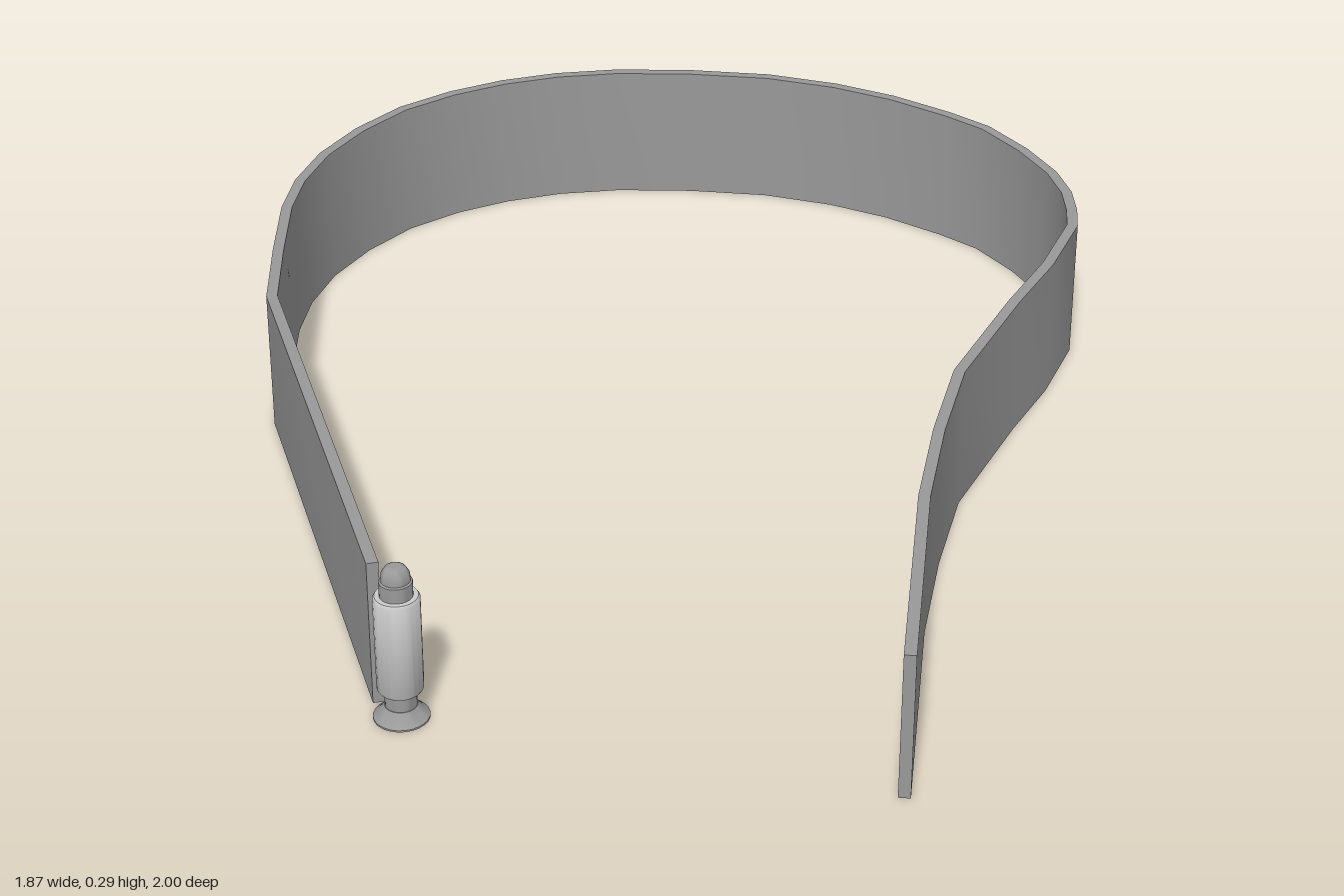
import * as THREE from 'three';
import { toCreasedNormals } from 'three/addons/utils/BufferGeometryUtils.js';

// Centre line of the band seen from above, as [x, z]
const PATH = [
  [0.10, 0.945], [-0.61, 0.365], [-0.72, 0.22], [-0.82, 0.08], [-0.873, -0.02],
  [-0.91, -0.135], [-0.924, -0.26], [-0.916, -0.385], [-0.88, -0.5], [-0.828, -0.6],
  [-0.76, -0.69], [-0.67, -0.775], [-0.543, -0.86], [-0.405, -0.932], [-0.27, -0.973],
  [-0.145, -0.99], [-0.015, -0.988], [0.08, -0.977], [0.19, -0.933], [0.285, -0.878],
  [0.35, -0.82], [0.395, -0.76], [0.427, -0.705], [0.466, -0.545], [0.488, -0.385],
  [0.538, -0.11], [0.612, 0.08], [0.702, 0.275], [0.923, 0.678],
].map(([x, z]) => new THREE.Vector2(x, -z));

const BAND_HEIGHT = 0.265;
const HALF_THICKNESS = 0.01;

// Moves the centre line sideways, mitred at each corner
function offsetPath(points, distance) {
  return points.map((p, i) => {
    const before = p.clone().sub(points[Math.max(i - 1, 0)]).normalize();
    const after = points[Math.min(i + 1, points.length - 1)].clone().sub(p).normalize();
    const along = before.add(after).normalize();
    return new THREE.Vector2(p.x - along.y * distance, p.y + along.x * distance);
  });
}

export function createModel() {
  const model = new THREE.Group();
  model.name = 'hingedBand';
  const dark = new THREE.MeshStandardMaterial({ color: 0x999999 });
  const light = new THREE.MeshStandardMaterial({ color: 0xcccccc });

  // Curved band: thin outline extruded upward
  const outline = [
    ...offsetPath(PATH, HALF_THICKNESS),
    ...offsetPath(PATH, -HALF_THICKNESS).reverse(),
  ];
  const bandGeometry = new THREE.ExtrudeGeometry(new THREE.Shape(outline), {
    depth: BAND_HEIGHT, bevelEnabled: false,
  });
  bandGeometry.rotateX(-Math.PI / 2);
  const band = new THREE.Mesh(toCreasedNormals(bandGeometry, 0.6), dark);
  band.name = 'band';
  model.add(band);

  // Turned pin at the end: each part is a [radius, height] profile, bottom to top
  const pin = new THREE.Group();
  pin.name = 'pin';
  pin.position.set(0.153, 0, 0.953);
  const parts = [
    ['pinFoot', dark, [[0, 0], [0.046, 0], [0.046, 0.003], [0.036, 0.012], [0.027, 0.024], [0, 0.024]]],
    ['pinNeck', dark, [[0.026, 0.022], [0.026, 0.06]]],
    ['pinBarrel', light, [[0, 0.053], [0.035, 0.053], [0.038, 0.058], [0.038, 0.225], [0.035, 0.23], [0, 0.23]]],
    ['pinTip', dark, [[0.027, 0.228], [0.027, 0.256], [0.024, 0.258], [0.023, 0.27], [0.017, 0.28], [0.009, 0.285], [0, 0.286]]],
  ];
  for (const [name, material, profile] of parts) {
    const points = profile.map(([r, y]) => new THREE.Vector2(r, y));
    const geometry = toCreasedNormals(new THREE.LatheGeometry(points, 24), 0.7);
    const mesh = new THREE.Mesh(geometry, material);
    mesh.name = name;
    pin.add(mesh);
  }
  model.add(pin);

  return model;
}
